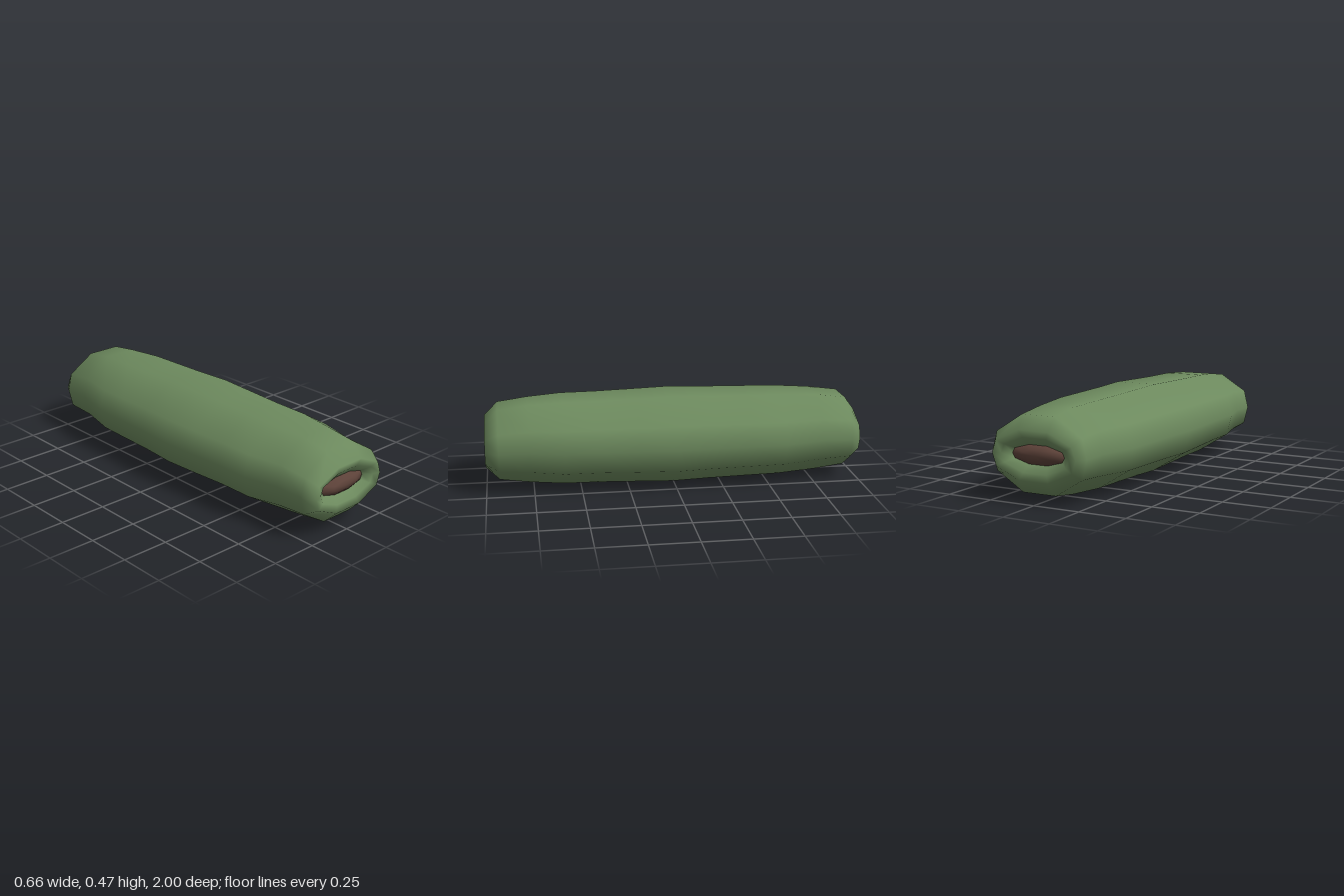
import * as THREE from 'three';
import { mergeVertices } from 'three/addons/utils/BufferGeometryUtils.js';

const CENTRE_Y = 0.237;

// Ten-sided flattened section, counter-clockwise, for unit half-width and half-height
const SECTION = [
  [1, 0], [0.91, 0.515], [0.35, 1], [-0.35, 1], [-0.91, 0.515],
  [-1, 0], [-0.91, -0.515], [-0.35, -1], [0.35, -1], [0.91, -0.515],
];

// Skins rings of [halfWidth, halfHeight, z], listed so the outside faces out
function loft(rings) {
  const n = SECTION.length, pos = [], index = [];
  for (const [a, b, z] of rings) {
    for (const [x, y] of SECTION) pos.push(x * a, y * b, z);
  }
  for (let i = 0; i < rings.length - 1; i++) {
    for (let j = 0; j < n; j++) {
      const k = (j + 1) % n;
      const p = i * n + j, q = i * n + k, r = q + n, s = p + n;
      index.push(p, q, r, p, r, s);
    }
  }
  const geo = new THREE.BufferGeometry();
  geo.setAttribute('position', new THREE.Float32BufferAttribute(pos, 3));
  geo.setIndex(index);
  const merged = mergeVertices(geo, 1e-5);
  merged.computeVertexNormals();
  return merged;
}

export function createModel() {
  const green = new THREE.MeshStandardMaterial({ color: 0x6d8a5e });
  green.name = 'mossGreen';
  const brown = new THREE.MeshStandardMaterial({ color: 0x5d4239 });
  brown.name = 'darkBrown';

  const model = new THREE.Group();
  model.name = 'roll';

  // Padded outer tube, its ends curling in to narrow openings
  const tube = new THREE.Mesh(loft([
    [0.13, 0.037, -0.9],
    [0.147, 0.047, -0.955],
    [0.19, 0.085, -0.988],
    [0.235, 0.122, -1],
    [0.265, 0.19, -0.95],
    [0.26, 0.212, -0.79],
    [0.31, 0.223, -0.58],
    [0.315, 0.226, -0.4],
    [0.318, 0.23, -0.2],
    [0.33, 0.236, 0],
    [0.322, 0.23, 0.2],
    [0.31, 0.225, 0.4],
    [0.31, 0.223, 0.59],
    [0.266, 0.212, 0.77],
    [0.266, 0.19, 0.93],
    [0.233, 0.122, 1],
    [0.19, 0.085, 0.988],
    [0.147, 0.047, 0.955],
    [0.13, 0.037, 0.9],
  ]), green);
  tube.name = 'outerTube';
  tube.position.y = CENTRE_Y;
  model.add(tube);

  // Domed filling showing in both openings
  const domeGeo = loft([
    [0.14, 0.042, 0.92],
    [0.148, 0.048, 0.955],
    [0.085, 0.026, 0.978],
    [0, 0, 0.984],
  ]);
  for (const [name, turn] of [['frontFilling', 0], ['backFilling', Math.PI]]) {
    const dome = new THREE.Mesh(domeGeo, brown);
    dome.name = name;
    dome.position.y = CENTRE_Y;
    dome.rotation.y = turn;
    model.add(dome);
  }
  return model;
}
